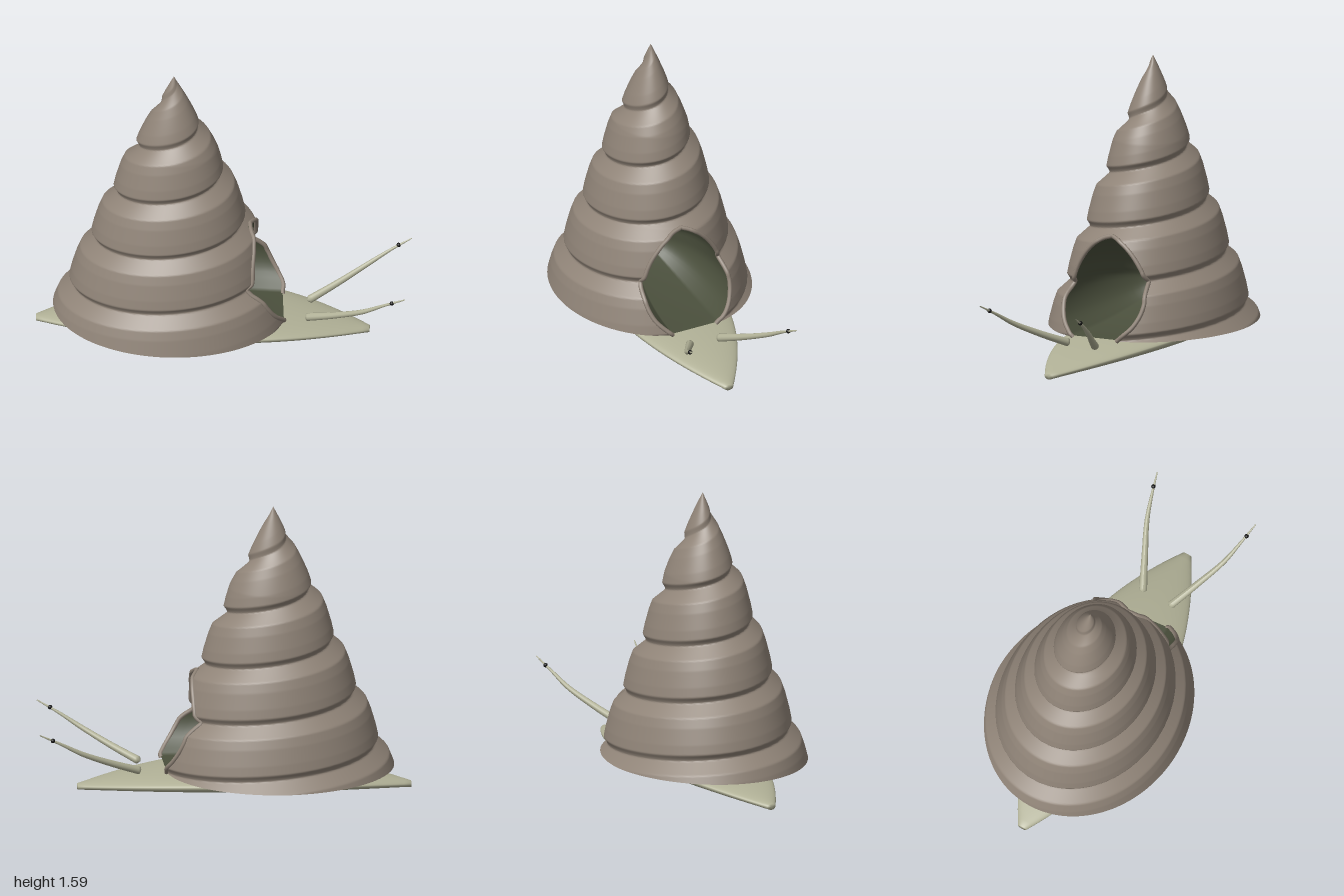
import * as THREE from 'three';
import { mergeVertices } from 'three/addons/utils/BufferGeometryUtils.js';

const AXIS_X = -0.26, BASE_Y = 0.137, TOP_Y = 1.59, SQUASH = 1.2, PITCH = 0.29;

const material = (color) => new THREE.MeshStandardMaterial({ color, side: THREE.DoubleSide });
const shellMat = material(0x8f8377);
const bodyMat = material(0xb0b096);
const innerMat = material(0x4a4f3c);
const eyeMat = material(0x111111);

// piecewise-linear lookup in ascending [input, output] pairs
function lookup(table, v) {
  for (let i = 1; i < table.length; i++) {
    const [a, fa] = table[i - 1], [b, fb] = table[i];
    if (v <= b) return fa + (fb - fa) * Math.max(0, (v - a) / (b - a));
  }
  return table[table.length - 1][1];
}

// smooth surface from a rule: fn(i, j) gives the point of row i, column j
function surface(rows, cols, fn) {
  const pos = [], index = [];
  for (let i = 0; i <= rows; i++) {
    for (let j = 0; j <= cols; j++) {
      pos.push(...fn(i, j));
      if (i === rows || j === cols) continue;
      const a = i * (cols + 1) + j, b = a + cols + 1;
      index.push(a, b, a + 1, b, b + 1, a + 1);
    }
  }
  let geo = new THREE.BufferGeometry();
  geo.setAttribute('position', new THREE.Float32BufferAttribute(pos, 3));
  geo.setIndex(index);
  geo = mergeVertices(geo, 1e-5);
  geo.computeVertexNormals();
  return geo;
}

// shell radius: a cone with a bulging whorl between turns of a spiral groove
const WHORL = [[0, 0], [0.05, 0.012], [0.12, 0.035], [0.3, 0.045], [0.6, 0.055], [0.78, 0.055], [0.88, 0.03], [1, 0]];
function shellRadius(theta, y) {
  const turn = (y - 0.415) / PITCH + theta / (2 * Math.PI);
  const bulge = lookup(WHORL, turn - Math.floor(turn)) * Math.min(1, (TOP_Y - y) / 0.45);
  return 0.41 * (TOP_Y - y) + bulge;
}
function shellPoint(theta, y) {
  const r = shellRadius(theta, y);
  return [AXIS_X + r * Math.cos(theta), y, (r / SQUASH) * Math.sin(theta)];
}

// half outline of the egg-shaped mouth, as [y, half width]
const mouthHalf = new THREE.SplineCurve([
  [BASE_Y, 0.13], [0.22, 0.215], [0.33, 0.248], [0.44, 0.22], [0.52, 0.185],
  [0.6, 0.125], [0.65, 0.06], [0.67, 0],
].map(([y, z]) => new THREE.Vector2(y, z))).getPoints(60).map((p) => [p.x, Math.max(0, p.y)]);

// angle of the mouth's edge at height y, on side +1 or -1
function mouthAngle(y, side) {
  if (y >= 0.67) return 0;
  const z = lookup(mouthHalf, y);
  let angle = 0.3;
  for (let k = 0; k < 8; k++) {
    const theta = side > 0 ? angle : 2 * Math.PI - angle;
    angle = Math.asin(Math.min(0.95, (z * SQUASH) / shellRadius(theta, y)));
  }
  return angle;
}

function buildShell() {
  const rows = 216, cols = 112;
  return surface(rows, cols, (i, j) => {
    const y = BASE_Y + (TOP_Y - BASE_Y) * (i / rows);
    const from = mouthAngle(y, 1), to = 2 * Math.PI - mouthAngle(y, -1);
    return shellPoint(from + (to - from) * (j / cols), y);
  });
}

// mouth edge from bottom left over the top to bottom right
function mouthEdge() {
  const edge = (side) => mouthHalf.filter((_, i) => i % 2 === 0).map(([y]) =>
    new THREE.Vector3(...shellPoint(side * mouthAngle(y, side), y)));
  return [...edge(1), ...edge(-1).reverse().slice(1)];
}

// dark hollow running back from the mouth to a rounded end
function buildHollow(edge) {
  const loop = [...edge, edge[0]], rows = 16;
  return surface(rows, loop.length - 1, (i, j) => {
    const a = (i / rows) * Math.PI / 2, s = Math.cos(a), p = loop[j];
    return [p.x + (-0.36 - p.x) * Math.sin(a), 0.34 + (p.y + 0.008 - 0.34) * s, p.z * s];
  });
}

// foot: lens-shaped outline, arched along its length
function buildFoot() {
  const rows = 50, cols = 40;
  return surface(rows, cols, (i, j) => {
    const k = Math.min(Math.max(i - 1, 0), rows - 2);
    const u = (k / (rows - 2)) * 2 - 1, arch = 1 - u * u;
    const closed = i === 0 || i === rows ? 0 : 1;
    const phi = ((j % cols) / cols) * Math.PI * 2, s = Math.sin(phi);
    const edgeY = 0.02 + 0.08 * arch;
    const reach = s > 0 ? 0.015 + 0.03 * arch : 0.018 + 0.052 * arch;
    return [-0.105 + 0.895 * u, edgeY + reach * s * closed,
      (0.025 + 0.28 * arch) * Math.cos(phi) * closed];
  });
}

// tapering, slightly bent feeler
function buildTentacle(side) {
  const curve = new THREE.CatmullRomCurve3([
    [0.45, 0.13, 0.08], [0.61, 0.2, 0.16], [0.77, 0.28, 0.237], [0.88, 0.345, 0.272], [0.998, 0.408, 0.303],
  ].map(([x, y, z]) => new THREE.Vector3(x, y, z * side)));
  const n = 48, sides = 12;
  const geo = new THREE.TubeGeometry(curve, n, 1, sides);
  const pos = geo.attributes.position, v = new THREE.Vector3();
  for (let i = 0; i < pos.count; i++) {
    const ring = Math.floor(i / (sides + 1)), t = ring / n;
    const center = curve.getPointAt(t);
    const radius = ring === 0 ? 0 : lookup([[0, 0.022], [0.6, 0.013], [1, 0.003]], t);
    v.fromBufferAttribute(pos, i).sub(center).multiplyScalar(radius).add(center);
    pos.setXYZ(i, v.x, v.y, v.z);
  }
  geo.computeVertexNormals();
  return geo;
}

export function createModel() {
  const model = new THREE.Group();
  const add = (name, geo, mat) => {
    const mesh = new THREE.Mesh(geo, mat);
    mesh.name = name;
    model.add(mesh);
    return mesh;
  };

  const edge = mouthEdge();
  add('spiralShell', buildShell(), shellMat);
  add('shellLip', new THREE.TubeGeometry(new THREE.CatmullRomCurve3(edge), 140, 0.012, 8), shellMat);
  add('shellHollow', buildHollow(edge), innerMat);
  add('foot', buildFoot(), bodyMat);

  for (const [side, label] of [[1, 'left'], [-1, 'right']]) {
    add(label + 'Tentacle', buildTentacle(side), bodyMat);
    add(label + 'Eye', new THREE.SphereGeometry(0.012, 16, 12), eyeMat)
      .position.set(0.928, 0.372, 0.287 * side);
  }
  return model;
}
